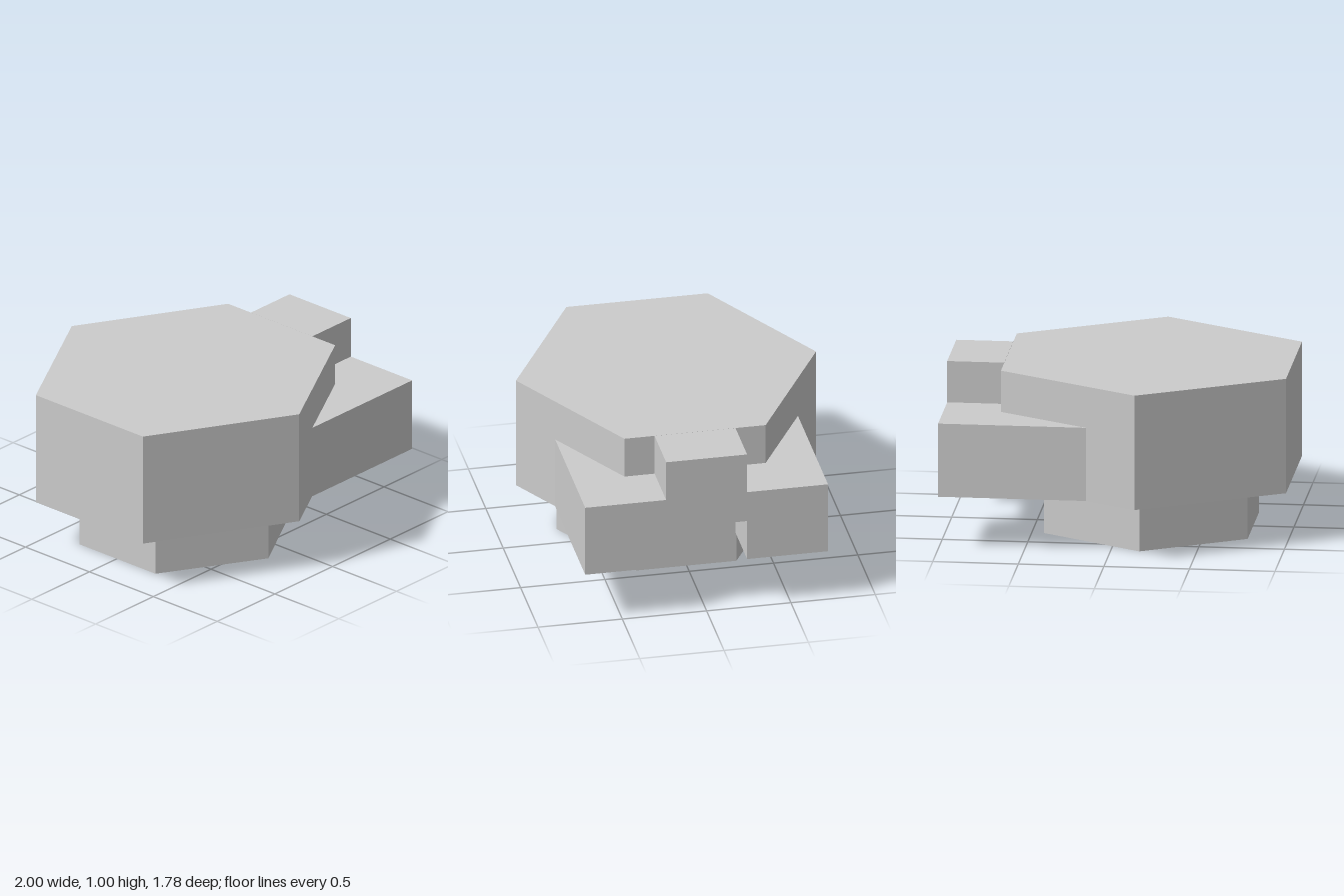
import * as THREE from 'three';

const material = new THREE.MeshStandardMaterial({ color: 0xcccccc, flatShading: true });
const BASE_TOP = 0.315, NOTCH_TOP = 0.565, ARM_TOP = 0.755, TOP = 1.003;
const CENTER_X = -0.167, FACE_X = 0.667;

// Upright prism from a plan outline of [x, z] points
function prism(name, plan, y0, y1) {
  const shape = new THREE.Shape(plan.map(([x, z]) => new THREE.Vector2(x, -z)));
  const geometry = new THREE.ExtrudeGeometry(shape, { depth: y1 - y0, bevelEnabled: false });
  geometry.rotateX(-Math.PI / 2).translate(0, y0, 0);
  const mesh = new THREE.Mesh(geometry, material);
  mesh.name = name;
  return mesh;
}

// Six-sided plan: flat faces at +-halfWidth in x, points at +-tip in z
function hexagon(halfWidth, tip, corner) {
  return [
    [0, tip], [halfWidth, corner], [halfWidth, -corner],
    [0, -tip], [-halfWidth, -corner], [-halfWidth, corner],
  ].map(([x, z]) => [CENTER_X + x, z]);
}

export function createModel() {
  const group = new THREE.Group();
  group.name = 'hexagonalBlock';

  // Head and the smaller foot below it
  group.add(prism('head', hexagon(0.833, 0.89, 0.419), BASE_TOP, TOP));
  const foot = prism('foot', hexagon(0.595, 0.645, 0.298), 0, BASE_TOP);
  foot.position.z = 0.004;
  group.add(foot);

  // Two arms fitted against the slanted faces of the head
  for (const [side, name] of [[1, 'frontArm'], [-1, 'backArm']]) {
    const plan = [[0.135, 0.72], [1, 0.72], [1, 0.24], [FACE_X, 0.24], [FACE_X, 0.419]];
    group.add(prism(name, plan.map(([x, z]) => [x, z * side]), BASE_TOP, ARM_TOP));
  }

  // Raised bridge between the arms, leaving a notch underneath
  const bridge = [[FACE_X, 0.24], [1, 0.24], [1, -0.24], [FACE_X, -0.24]];
  group.add(prism('bridge', bridge, NOTCH_TOP, TOP));

  return group;
}
